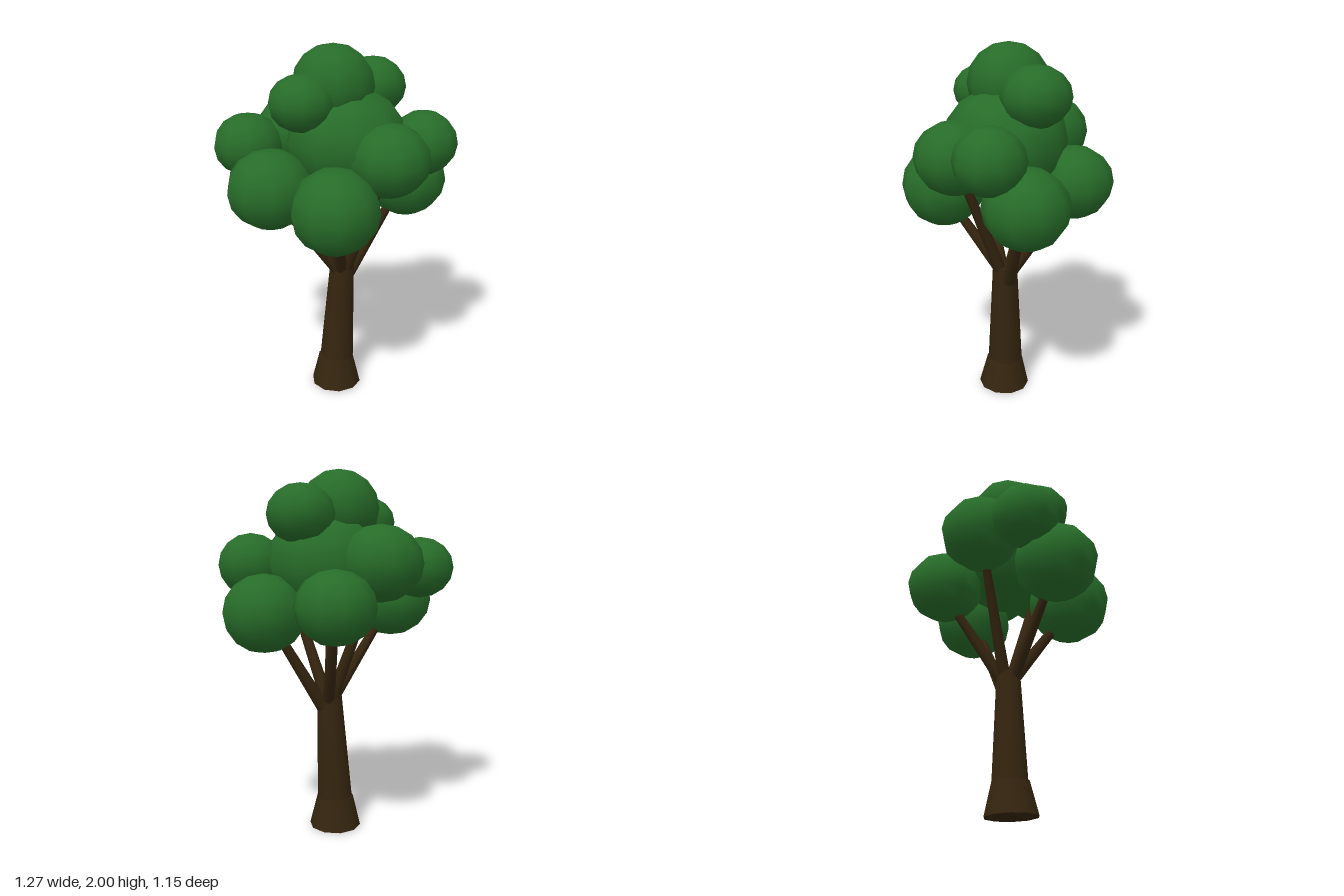
import * as THREE from 'three';

export function createModel() {
  const tree = new THREE.Group();
  tree.name = 'tree';
  const bark = new THREE.MeshStandardMaterial({ name: 'bark brown', color: 0x35250f });
  const leaf = new THREE.MeshStandardMaterial({ name: 'leaf green', color: 0x276c29 });
  const up = new THREE.Vector3(0, 1, 0);

  // Tapered ten-sided limb running from one point to another
  function limb(name, from, to, r0, r1, sides = 10) {
    const a = new THREE.Vector3(...from);
    const dir = new THREE.Vector3(...to).sub(a);
    const mesh = new THREE.Mesh(new THREE.CylinderGeometry(r1, r0, dir.length(), sides), bark);
    mesh.position.copy(a).addScaledVector(dir, 0.5);
    mesh.quaternion.setFromUnitVectors(up, dir.normalize());
    mesh.name = name;
    tree.add(mesh);
  }

  // Root flare and leaning trunk; the trunk is sheared so its ends stay level
  limb('rootFlare', [0.005, 0, 0.01], [0.005, 0.175, 0.005], 0.145, 0.102);
  const trunkGeo = new THREE.CylinderGeometry(0.068, 0.102, 0.68, 10);
  trunkGeo.applyMatrix4(new THREE.Matrix4().set(
    1, 0.05, 0, 0.022,
    0, 1, 0, 0.44,
    0, 0, 1, 0.003,
    0, 0, 0, 1));
  const trunk = new THREE.Mesh(trunkGeo, bark);
  trunk.name = 'trunk';
  tree.add(trunk);

  // Branches fanning out into the crown
  const branches = [
    [[0.015, 0.74, 0.02], [-0.32, 1.22, 0.14]],
    [[0.03, 0.75, 0.03], [-0.03, 1.15, 0.32]],
    [[0.05, 0.73, 0.02], [0.23, 1.38, 0.23]],
    [[0.08, 0.7, -0.02], [0.38, 1.2, -0.1]],
    [[0.05, 0.74, -0.03], [0.08, 1.2, -0.34]],
    [[0.03, 0.74, -0.02], [-0.16, 1.4, -0.2]],
  ];
  branches.forEach(([from, to], i) => limb('branch' + (i + 1), from, to, 0.036, 0.023, 8));

  // Leaf clumps: x, y, z, horizontal radius, vertical radius
  const clumps = [
    [0.06, 1.5, 0.0, 0.33, 0.29],
    [-0.01, 1.79, -0.015, 0.22, 0.21],
    [-0.185, 1.725, 0.12, 0.172, 0.145],
    [0.22, 1.755, -0.155, 0.182, 0.157],
    [-0.46, 1.475, -0.055, 0.186, 0.167],
    [-0.355, 1.29, 0.15, 0.23, 0.21],
    [-0.04, 1.225, 0.342, 0.233, 0.225],
    [0.245, 1.452, 0.25, 0.214, 0.189],
    [0.458, 1.49, 0.065, 0.184, 0.171],
    [0.41, 1.24, -0.11, 0.226, 0.21],
    [0.08, 1.283, -0.362, 0.214, 0.195],
    [-0.19, 1.5, -0.222, 0.228, 0.205],
  ];
  const ball = new THREE.SphereGeometry(1, 10, 8).rotateY(Math.PI / 10);
  clumps.forEach(([x, y, z, r, h], i) => {
    const mesh = new THREE.Mesh(ball, leaf);
    mesh.position.set(x, y, z);
    mesh.scale.set(r, h, r);
    mesh.name = 'leafClump' + (i + 1);
    tree.add(mesh);
  });

  return tree;
}
